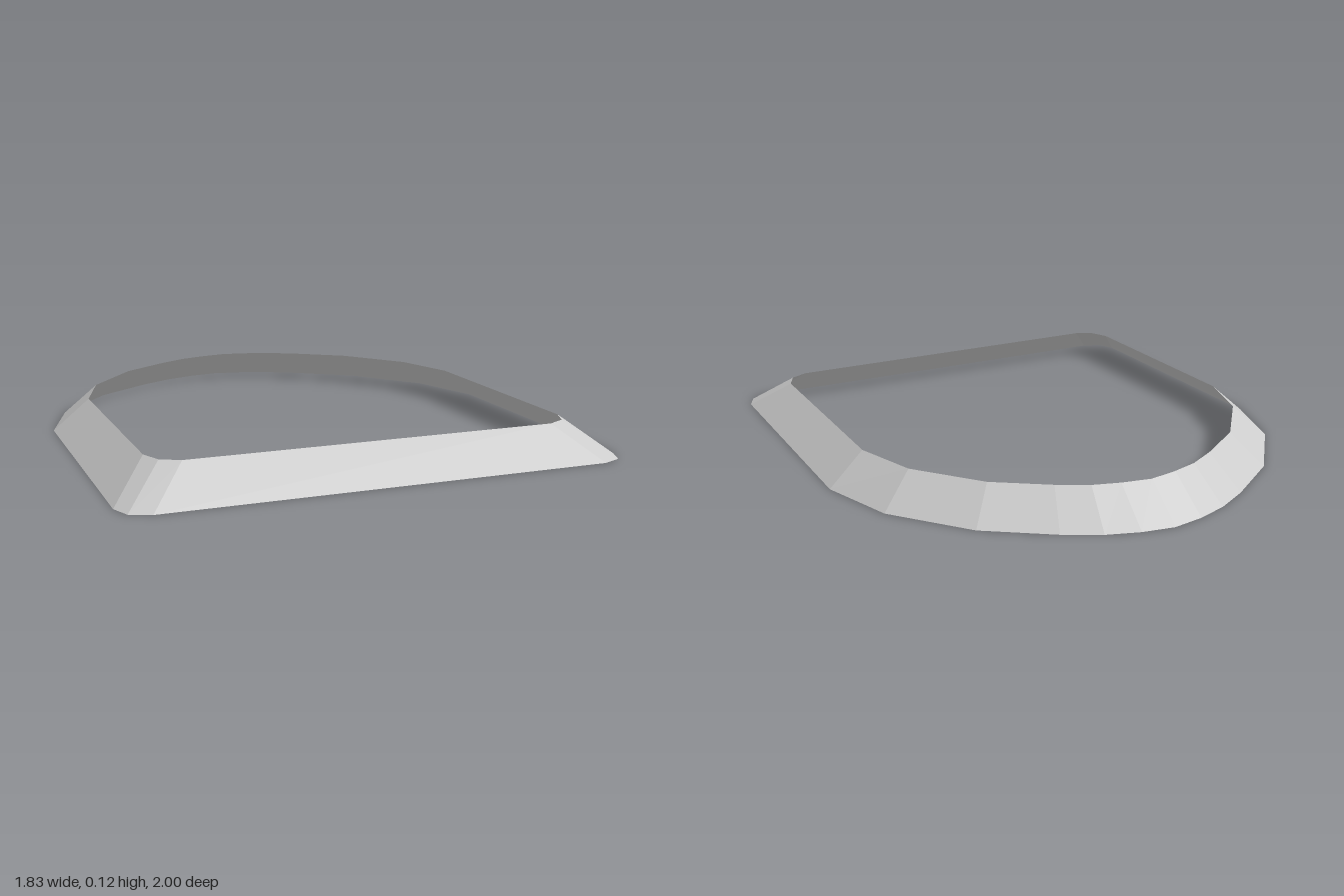
import * as THREE from 'three';

// Right half of the arched outline, from the back peak round to the front corner:
// [outer x, outer z, inner x, inner z]
const HALF = [
  [0, -1, 0, -0.85],
  [0.12, -0.98, 0.11, -0.83],
  [0.24, -0.94, 0.21, -0.8],
  [0.37, -0.87, 0.32, -0.74],
  [0.6, -0.71, 0.51, -0.61],
  [0.82, -0.44, 0.7, -0.375],
  [0.917, -0.15, 0.78, -0.13],
  [0.917, 0.9, 0.78, 0.74],
  [0.888, 0.97, 0.748, 0.815],
  [0.815, 1, 0.68, 0.85],
];
const HEIGHT = 0.12;

// Open sloping band: the outer edge is on the ground, the inner edge is raised
function slopedBand() {
  const mirrored = HALF.slice(1).reverse().map(([ox, oz, ix, iz]) => [-ox, oz, -ix, iz]);
  const ring = [...HALF, ...mirrored];
  const positions = [];
  ring.forEach(([ox, oz, ix, iz], i) => {
    const [px, pz, qx, qz] = ring[(i + 1) % ring.length];
    const a = [ox, 0, oz], b = [ix, HEIGHT, iz];
    const c = [px, 0, pz], d = [qx, HEIGHT, qz];
    positions.push(...a, ...b, ...c, ...b, ...d, ...c);
  });
  const geometry = new THREE.BufferGeometry();
  geometry.setAttribute('position', new THREE.Float32BufferAttribute(positions, 3));
  geometry.computeVertexNormals();
  return geometry;
}

export function createModel() {
  const group = new THREE.Group();
  group.name = 'archedFrame';

  const grey = new THREE.MeshStandardMaterial({
    color: 0xcccccc, flatShading: true, side: THREE.DoubleSide,
  });
  grey.name = 'light grey';

  const band = new THREE.Mesh(slopedBand(), grey);
  band.name = 'slopedRim';
  group.add(band);
  return group;
}
